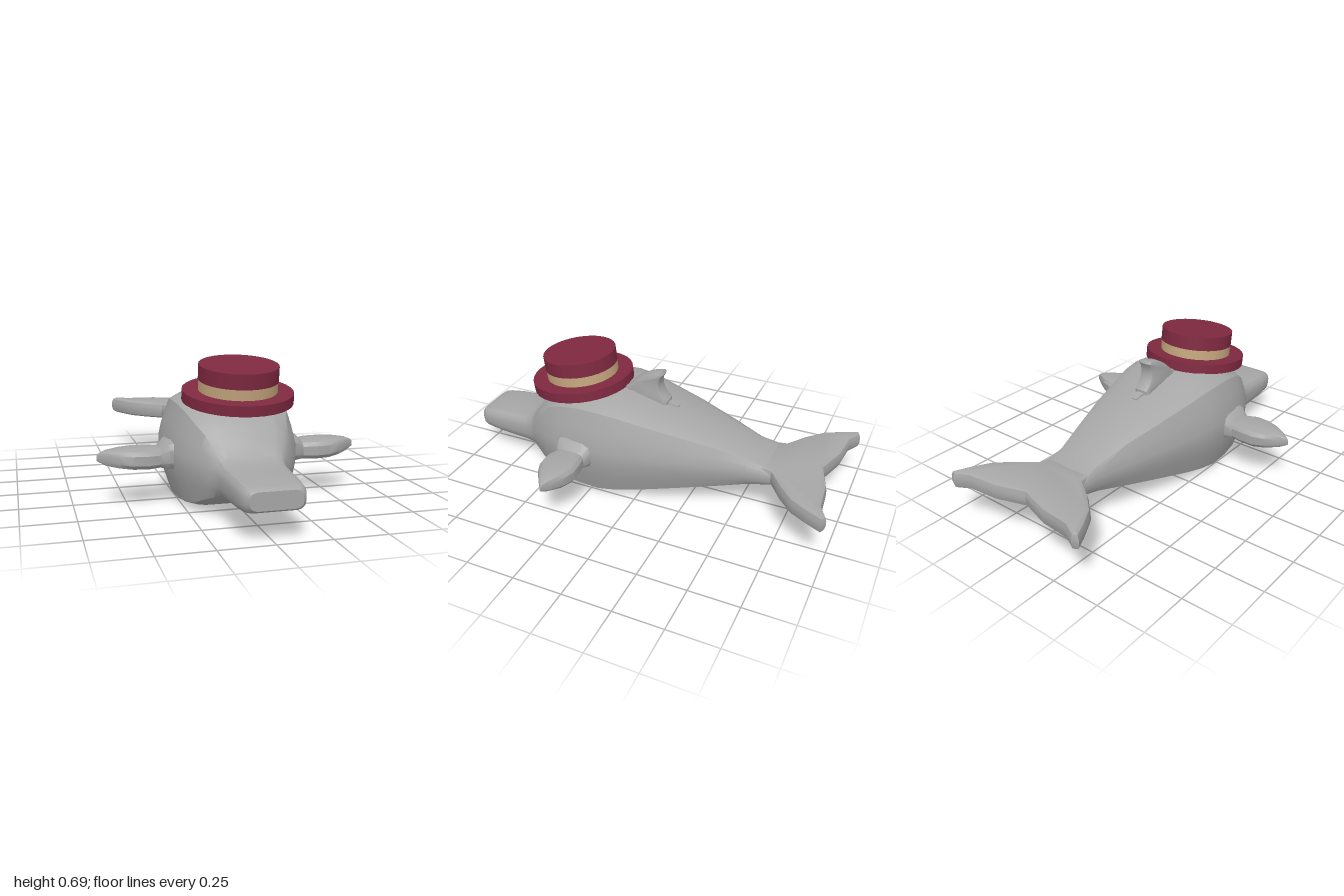
import * as THREE from 'three';
import { toCreasedNormals, mergeVertices } from 'three/addons/utils/BufferGeometryUtils.js';

const skin = new THREE.MeshStandardMaterial({ color: 0xa6a6a6 });
skin.name = 'grey skin';
const felt = new THREE.MeshStandardMaterial({ color: 0x7f2940 });
felt.name = 'burgundy felt';
const ribbon = new THREE.MeshStandardMaterial({ color: 0xc4a57d });
ribbon.name = 'tan ribbon';

function addMesh(parent, name, geometry, material) {
  const mesh = new THREE.Mesh(geometry, material);
  mesh.name = name;
  parent.add(mesh);
  return mesh;
}

// Skin closed rings of points into a capped solid, facing outwards.
function loft(rings) {
  const n = rings[0].length;
  const points = rings.flat();
  const index = [];
  for (let r = 0; r < rings.length - 1; r++) {
    for (let i = 0; i < n; i++) {
      const a = r * n + i, b = r * n + (i + 1) % n;
      index.push(a, b, b + n, a, b + n, a + n);
    }
  }
  const last = (rings.length - 1) * n;
  for (let i = 1; i < n - 1; i++) {
    index.push(0, i + 1, i, last, last + i, last + i + 1);
  }
  // Signed volume tells whether the winding must be flipped.
  let volume = 0;
  const [a, b, c] = [new THREE.Vector3(), new THREE.Vector3(), new THREE.Vector3()];
  for (let i = 0; i < index.length; i += 3) {
    a.fromArray(points[index[i]]);
    b.fromArray(points[index[i + 1]]);
    c.fromArray(points[index[i + 2]]);
    volume += a.dot(b.cross(c));
  }
  if (volume < 0) index.reverse();
  const geometry = new THREE.BufferGeometry();
  geometry.setAttribute('position', new THREE.Float32BufferAttribute(points.flat(), 3));
  geometry.setIndex(index);
  return toCreasedNormals(geometry, 0.6);
}

// Half profiles as [share of half width, share of height], bottom to top.
const roundHalf = [[0, 0], [0.63, 0.002], [0.83, 0.04], [0.94, 0.24], [1, 0.42], [1, 0.54], [0.92, 0.73], [0.82, 0.9], [0.56, 0.985], [0, 1]];
const boxyHalf = [[0, 0], [0.7, 0], [0.86, 0.05], [0.96, 0.18], [1, 0.35], [1, 0.65], [0.96, 0.82], [0.86, 0.95], [0.7, 1], [0, 1]];

function bodyRing([z, low, high, halfWidth, boxy]) {
  const half = roundHalf.map(([x, y], i) => [
    THREE.MathUtils.lerp(x, boxyHalf[i][0], boxy) * halfWidth,
    low + THREE.MathUtils.lerp(y, boxyHalf[i][1], boxy) * (high - low), z]);
  const mirrored = half.slice(1, -1).reverse().map(([x, y]) => [-x, y, z]);
  return [...half, ...mirrored];
}

// Body stations: z, bottom, top, half width, boxiness.
const stations = [
  [1.0, 0.145, 0.225, 0.115, 1], [0.985, 0.135, 0.235, 0.13, 1],
  [0.96, 0.128, 0.24, 0.14, 1], [0.88, 0.12, 0.25, 0.148, 1],
  [0.78, 0.115, 0.255, 0.152, 1], [0.7, 0.113, 0.262, 0.158, 1],
  [0.655, 0.105, 0.28, 0.165, 0.9], [0.62, 0.09, 0.33, 0.19, 0.5],
  [0.57, 0.065, 0.4, 0.225, 0.2], [0.5, 0.03, 0.455, 0.265, 0],
  [0.42, 0.01, 0.5, 0.295, 0], [0.32, 0, 0.525, 0.312, 0],
  [0.2, 0, 0.53, 0.32, 0], [0.1, 0.015, 0.518, 0.31, 0],
  [0, 0.035, 0.492, 0.288, 0], [-0.2, 0.085, 0.442, 0.242, 0],
  [-0.4, 0.13, 0.385, 0.182, 0.1], [-0.55, 0.17, 0.33, 0.142, 0.4],
  [-0.68, 0.21, 0.298, 0.142, 1], [-0.73, 0.22, 0.3, 0.15, 1],
];

// Flipper stations out along x: x, back z, front z, bottom y, top y.
const flipperStations = [
  [0.26, 0.19, 0.42, 0.17, 0.325], [0.315, 0.2, 0.41, 0.175, 0.31],
  [0.35, 0.23, 0.39, 0.18, 0.275], [0.41, 0.218, 0.41, 0.178, 0.28],
  [0.48, 0.215, 0.405, 0.18, 0.28], [0.54, 0.235, 0.38, 0.187, 0.277],
  [0.6, 0.275, 0.338, 0.2, 0.27], [0.63, 0.298, 0.314, 0.215, 0.258],
  [0.64, 0.303, 0.309, 0.222, 0.248],
];

function flipperRing([x, z0, z1, y0, y1], side) {
  return Array.from({ length: 12 }, (_, i) => {
    const t = (i + 0.5) / 12 * Math.PI * 2;
    const square = (v) => Math.sign(v) * Math.pow(Math.abs(v), 0.6);
    return [side * x, (y0 + y1) / 2 + square(Math.sin(t)) * (y1 - y0) / 2,
      (z0 + z1) / 2 + square(Math.cos(t)) * (z1 - z0) / 2];
  });
}

// Bevelled plate whose outline keeps its drawn size.
function plate(shape, thickness, bevel) {
  const geometry = new THREE.ExtrudeGeometry(shape, {
    depth: thickness - 2 * bevel, bevelThickness: bevel, bevelSize: bevel * 0.7,
    bevelOffset: -bevel * 0.7, bevelSegments: 2, curveSegments: 6,
  });
  geometry.translate(0, 0, bevel - thickness / 2);
  geometry.deleteAttribute('uv');
  geometry.deleteAttribute('normal');
  return toCreasedNormals(mergeVertices(geometry), 0.6);
}

export function createModel() {
  const model = new THREE.Group();
  model.name = 'dolphinInHat';

  addMesh(model, 'body', loft(stations.map(bodyRing)), skin);

  // Flippers
  for (const side of [1, -1]) {
    addMesh(model, side > 0 ? 'leftFlipper' : 'rightFlipper',
      loft(flipperStations.map((s) => flipperRing(s, side))), skin);
  }

  // Tail flukes, drawn as [x, -z] and laid flat
  const right = [[0.14, 0.675], [0.235, 0.745], [0.315, 0.82], [0.365, 0.91], [0.4, 0.985], [0.37, 1.0], [0.3, 0.962], [0.15, 0.948]];
  const outline = [[0.13, 0.62], ...right, [0, 0.9],
    ...[...right].reverse().map(([x, y]) => [-x, y]), [-0.13, 0.62]];
  const fluke = plate(new THREE.Shape(outline.map((p) => new THREE.Vector2(...p))), 0.09, 0.03);
  fluke.rotateX(-Math.PI / 2);
  addMesh(model, 'tailFlukes', fluke, skin).position.y = 0.262;

  // Dorsal fin, drawn as [-z, y] and turned upright
  const fin = new THREE.Shape();
  fin.moveTo(-0.14, 0.48);
  fin.lineTo(-0.14, 0.525);
  fin.quadraticCurveTo(-0.06, 0.625, 0.05, 0.64);
  fin.lineTo(0.06, 0.625);
  fin.quadraticCurveTo(0.015, 0.56, 0.09, 0.49);
  fin.lineTo(0.09, 0.44);
  const dorsal = plate(fin, 0.085, 0.025);
  dorsal.rotateY(Math.PI / 2);
  addMesh(model, 'dorsalFin', dorsal, skin);

  // Low ridge where the dorsal fin meets the back
  addMesh(model, 'dorsalRidge', loft([[0.14, 0.535, 0.05], [0, 0.51, 0.045], [-0.14, 0.462, 0.02]].map(
    ([z, top, w]) => [[-w, top - 0.07, z], [w, top - 0.07, z], [w * 0.7, top, z], [-w * 0.7, top, z]])), skin);

  // Hat, tipped forward
  const hat = new THREE.Group();
  hat.name = 'hat';
  hat.position.set(0.012, 0.495, 0.393);
  hat.rotation.x = 0.134;
  model.add(hat);
  const disc = (name, radius, y0, y1, material) => {
    const mesh = addMesh(hat, name, new THREE.CylinderGeometry(radius, radius, y1 - y0, 32), material);
    mesh.position.y = (y0 + y1) / 2;
  };
  disc('hatBrim', 0.262, 0, 0.05, felt);
  disc('hatBand', 0.186, 0.05, 0.1, ribbon);
  disc('hatCrown', 0.188, 0.1, 0.172, felt);

  return model;
}
